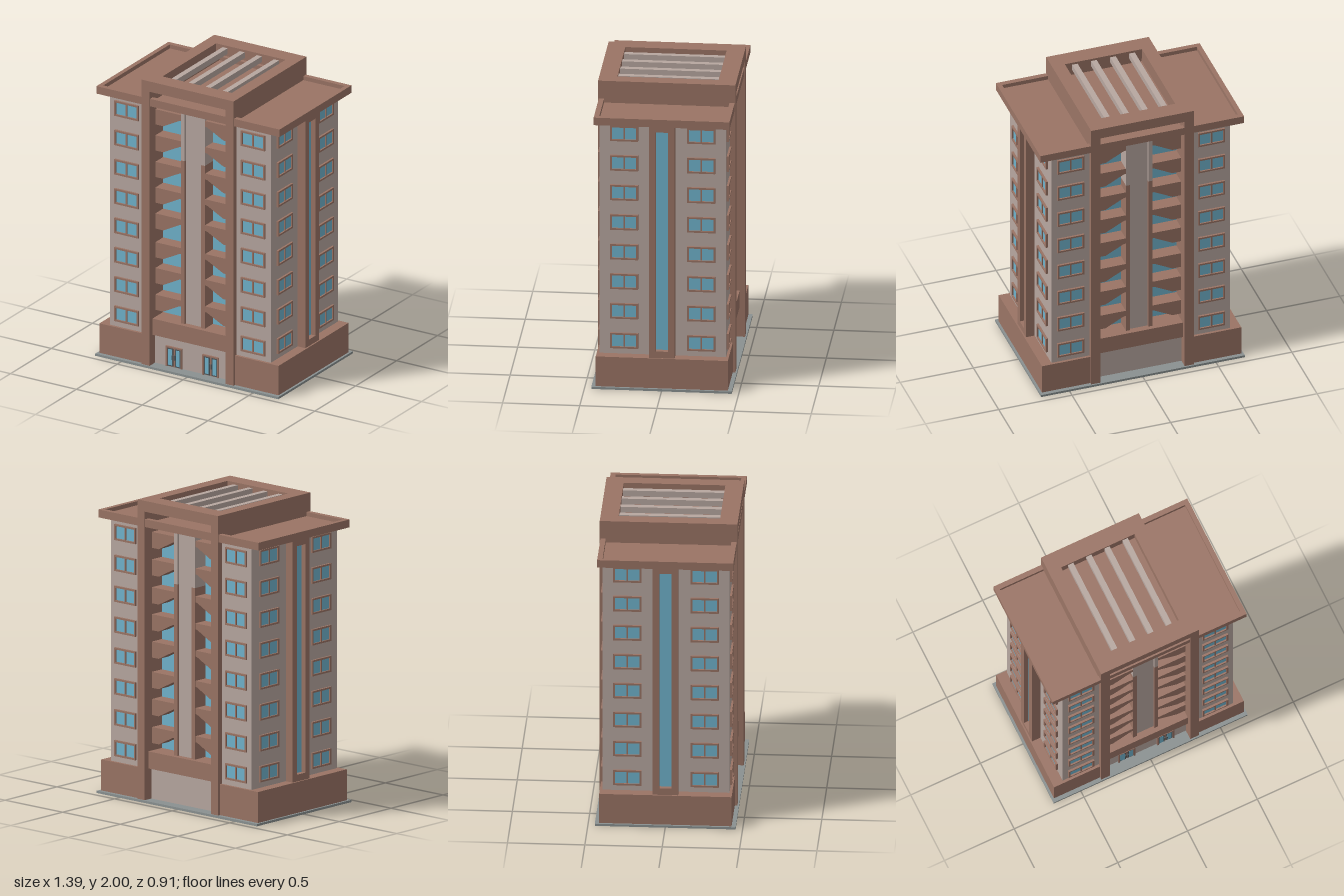
import * as THREE from 'three';

const mat = (name, color) => Object.assign(new THREE.MeshStandardMaterial({ color }), { name });

export function createModel() {
  const brown = mat('brown cladding', 0x9a7465);
  const light = mat('pale wall', 0xb7a7a0);
  const glass = mat('blue glass', 0x70b3cc);
  const grey = mat('grey paving', 0x8a9191);
  const dark = mat('dark metal', 0x50585c);

  const model = new THREE.Group();
  model.name = 'apartmentTower';

  // Box given by its min and max on each axis
  const box = (parent, name, m, x0, x1, y0, y1, z0, z1) => {
    const mesh = new THREE.Mesh(new THREE.BoxGeometry(x1 - x0, y1 - y0, z1 - z0), m);
    mesh.position.set((x0 + x1) / 2, (y0 + y1) / 2, (z0 + z1) / 2);
    mesh.name = name;
    parent.add(mesh);
    return mesh;
  };
  const group = (parent, name) => {
    const g = new THREE.Group();
    g.name = name;
    parent.add(g);
    return g;
  };
  // Flat horizontal ring with a rectangular opening
  const ring = (parent, name, m, w, d, iw, id, y0, y1) => {
    const rect = (P, a, b) => {
      const p = new P();
      p.moveTo(-a, -b).lineTo(a, -b).lineTo(a, b).lineTo(-a, b).closePath();
      return p;
    };
    const shape = rect(THREE.Shape, w, d);
    shape.holes.push(rect(THREE.Path, iw, id));
    const geo = new THREE.ExtrudeGeometry(shape, { depth: y1 - y0, bevelEnabled: false });
    geo.rotateX(-Math.PI / 2).translate(0, y0, 0);
    const mesh = new THREE.Mesh(geo, m);
    mesh.name = name;
    parent.add(mesh);
  };

  // Two-pane window on a wall plane at the given z
  const addWindow = (parent, x, y, z) => {
    const g = group(parent, 'window');
    const w = 0.091, h = 0.053, t = 0.012, d = 0.014;
    box(g, 'windowGlass', glass, -w + t, w - t, -h + t, h - t, -0.002, 0.004);
    for (const s of [-1, 1]) {
      const a = s * (w - t / 2), b = s * (h - t / 2);
      box(g, 'windowJamb', brown, a - t / 2, a + t / 2, -h, h, -0.002, d);
      box(g, 'windowRail', brown, -w + t, w - t, b - t / 2, b + t / 2, -0.002, d);
    }
    box(g, 'windowMullion', brown, -0.005, 0.005, -h + t, h - t, -0.002, d - 0.003);
    g.position.set(x, y, z);
  };
  const rows = Array.from({ length: 8 }, (_, i) => 0.312 + i * 0.2047);

  // Ground slab, core and podium
  box(model, 'groundSlab', grey, -0.695, 0.695, 0, 0.015, -0.455, 0.455);
  box(model, 'glazedCore', glass, -0.3, 0.3, 0.33, 1.825, -0.28, 0.28);
  box(model, 'entranceWall', light, -0.3, 0.3, 0.015, 0.22, -0.38, 0.38);
  box(model, 'podiumBand', brown, -0.3, 0.3, 0.22, 0.333, -0.41, 0.41);

  // Side wings with plinths, and the tall full-depth piers
  for (const s of [-1, 1]) {
    const span = (a, b) => (s > 0 ? [a, b] : [-b, -a]);
    box(model, 'wing', light, ...span(0.32, 0.61), 0.22, 1.825, -0.41, 0.41);
    box(model, 'plinth', brown, ...span(0.32, 0.68), 0.015, 0.22, -0.428, 0.428);
    box(model, 'pier', brown, ...span(0.288, 0.35), 0.015, 1.93, -0.445, 0.445);
  }

  // Roof with parapet, and the raised crown with slats
  box(model, 'roofSlab', brown, -0.695, 0.695, 1.825, 1.85, -0.44, 0.44);
  ring(model, 'parapet', brown, 0.695, 0.44, 0.664, 0.406, 1.85, 1.877);
  ring(model, 'crown', brown, 0.35, 0.445, 0.263, 0.328, 1.928, 2);
  for (const x of [-0.195, -0.065, 0.065, 0.195])
    box(model, 'crownSlat', light, x - 0.019, x + 0.019, 1.945, 1.985, -0.33, 0.33);

  // Balcony with a soffit that rises towards the centre
  const profile = new THREE.Shape([
    [0.09, 0], [0.09, -0.04], [0.105, -0.042], [0.228, -0.106], [0.29, -0.106], [0.29, 0],
  ].map(([x, y]) => new THREE.Vector2(x, y)));
  const balconyRight = new THREE.ExtrudeGeometry(profile, { depth: 0.1, bevelEnabled: false });
  const balconyLeft = balconyRight.clone().rotateY(Math.PI).translate(0, 0, 0.1);
  const balconyTops = [0.488, 0.674, 0.854, 1.055, 1.236, 1.415, 1.6, 1.782];

  // Front and back facades
  for (const back of [0, 1]) {
    const f = group(model, back ? 'backFacade' : 'frontFacade');
    f.rotation.y = back * Math.PI;
    for (const y of rows) for (const s of [-1, 1]) addWindow(f, s * 0.48, y, 0.41);
    for (const y of balconyTops)
      for (const geo of [balconyLeft, balconyRight]) {
        const b = new THREE.Mesh(geo, brown);
        b.name = 'balcony';
        b.position.set(0, y, 0.275);
        f.add(b);
      }
    box(f, 'centralColumn', light, -0.062, 0.062, 0.33, 1.825, 0.27, 0.365);
    for (const s of [-1, 1]) {
      const x = s * 0.076;
      box(f, 'lowerColumnFin', brown, x - 0.014, x + 0.014, 0.33, 1.47, 0.27, 0.38);
      box(f, 'upperColumnFin', light, x - 0.014, x + 0.014, 1.47, 1.825, 0.27, 0.38);
    }
    if (back) continue;

    // Entrance double doors
    for (const s of [-1, 1]) {
      const d = group(f, 'entranceDoor');
      d.position.set(s * 0.139, 0.015, 0.38);
      box(d, 'doorHeader', brown, -0.061, 0.061, 0.132, 0.142, 0, 0.012);
      box(d, 'doorBacking', brown, -0.061, 0.061, 0, 0.132, 0, 0.003);
      for (const k of [-1, 1]) {
        box(d, 'doorJamb', brown, k * 0.056 - 0.005, k * 0.056 + 0.005, 0, 0.132, 0, 0.012);
        box(d, 'doorLeaf', dark, k * 0.028 - 0.021, k * 0.028 + 0.021, 0.004, 0.13, 0.002, 0.007);
        box(d, 'doorGlass', glass, k * 0.029 - 0.014, k * 0.029 + 0.014, 0.012, 0.122, 0.006, 0.009);
        box(d, 'doorHandle', dark, k * 0.008 - 0.004, k * 0.008 + 0.004, 0.053, 0.086, 0.006, 0.016);
      }
    }
  }

  // Left and right facades: windows and a tall framed strip of glass
  for (const s of [-1, 1]) {
    const f = group(model, s > 0 ? 'leftFacade' : 'rightFacade');
    f.rotation.y = s * Math.PI / 2;
    for (const y of rows) for (const k of [-1, 1]) addWindow(f, k * 0.25, y, 0.61);
    box(f, 'stairGlass', glass, -0.042, 0.042, 0.26, 1.785, 0.6, 0.635);
    for (const k of [-1, 1])
      box(f, 'stairFin', brown, k * 0.061 - 0.021, k * 0.061 + 0.021, 0.22, 1.825, 0.6, 0.67);
    box(f, 'stairSill', brown, -0.04, 0.04, 0.22, 0.265, 0.6, 0.67);
    box(f, 'stairHead', brown, -0.04, 0.04, 1.78, 1.825, 0.6, 0.67);
  }
  return model;
}
